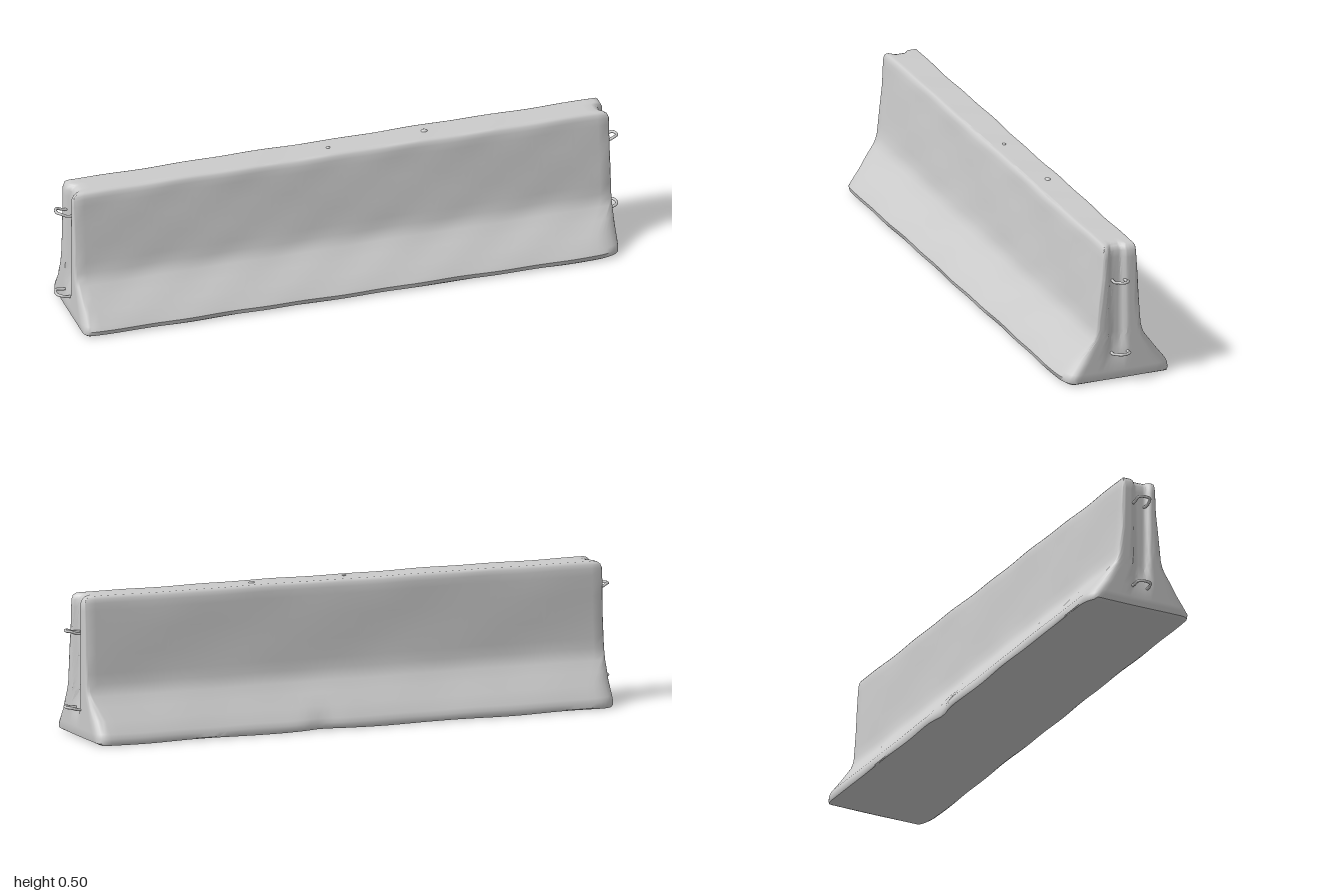
import * as THREE from 'three';
import { mergeVertices, toCreasedNormals } from 'three/addons/utils/BufferGeometryUtils.js';

const HALF = 0.954;

// Cross-section from the ground up: [y, front z, back z]
const ROWS = [
  [0.007, 0.180, -0.192], [0.014, 0.190, -0.195], [0.030, 0.194, -0.194], [0.045, 0.185, -0.187],
  [0.085, 0.154, -0.156], [0.125, 0.124, -0.126], [0.160, 0.097, -0.099], [0.178, 0.087, -0.090],
  [0.200, 0.081, -0.084], [0.235, 0.077, -0.081], [0.300, 0.071, -0.077], [0.380, 0.063, -0.073],
  [0.450, 0.057, -0.070], [0.474, 0.055, -0.068], [0.487, 0.052, -0.065], [0.494, 0.047, -0.060],
  [0.497, 0.040, -0.053],
];

const smooth = THREE.MathUtils.smoothstep;

// How far a quarter-round of width w and depth r pulls back at distance d from an edge
function roundOff(d, w, r) {
  if (d >= w) return 0;
  const t = 1 - d / w;
  return r * (1 - Math.sqrt(1 - t * t));
}

// Pull-back of an end face: rounded borders, worn foot corners, central groove
function endInset(side, y, z, front, back) {
  const low = 1 - smooth(y, 0.06, 0.19);
  const wornFront = side > 0 ? 0.07 : 0.02;
  const wornBack = side > 0 ? 0.035 : 0.065;
  const edge = Math.max(
    roundOff(front - z, 0.012 + 0.03 * low, 0.012 + wornFront * low),
    roundOff(z - back, 0.012 + 0.03 * low, 0.012 + wornBack * low),
    roundOff(0.497 - y, 0.03, 0.028),
    roundOff(y - 0.007, 0.02, 0.015));
  const groove = 0.018 * (1 - smooth(Math.abs(z - 0.004), 0.016, 0.036)) * smooth(y, 0.07, 0.15);
  return edge + groove;
}

// Gentle unevenness of cast concrete
function wobble(x, y, z) {
  return 0.0012 * Math.sin(9 * x + 21 * y + 2 * z) + 0.0009 * Math.sin(23 * x - 33 * y + 17 * z);
}

function barrierBody() {
  const ny = ROWS.length - 1;
  let geo = new THREE.BoxGeometry(2, 2, 2, 64, ny, 28);
  geo.deleteAttribute('normal');
  geo.deleteAttribute('uv');
  geo = mergeVertices(geo);
  const p = geo.attributes.position;
  for (let i = 0; i < p.count; i++) {
    const u = p.getX(i);
    const [y, front, back] = ROWS[Math.round((p.getY(i) + 1) / 2 * ny)];
    const w = Math.sin(p.getZ(i) * Math.PI / 2);
    let z = THREE.MathUtils.lerp(back, front, (w + 1) / 2);
    const x = u * (HALF - endInset(Math.sign(u), y, z, front, back));

    // Chipped spot along the rear foot
    if (w < 0) z += 0.013 * Math.exp(-(((x - 0.13) / 0.05) ** 2)) * (1 - smooth(y, 0.02, 0.09)) * -w;

    z += w * wobble(x, y, z);
    const lift = y > 0.01 ? 0.6 * wobble(x + 2, 0, z) : 0.0015 * (1 + Math.sin(14 * x));
    p.setXYZ(i, x, y * (1 + 0.008 * x) + lift, z);
  }
  return toCreasedNormals(geo, 0.75);
}

// U-shaped steel lifting eye; side is +1 or -1, tip height differs from root height
function loopGeometry(side, rootY, tipY, halfWidth) {
  const points = [
    [0.925, rootY, 1], [0.962, rootY, 1], [0.985, tipY, 0.85], [0.994, tipY, 0.4],
    [0.995, tipY, 0], [0.994, tipY, -0.4], [0.985, tipY, -0.85], [0.962, rootY, -1], [0.925, rootY, -1],
  ].map(([x, y, s]) => new THREE.Vector3(side * x, y, -0.004 + s * halfWidth));
  return new THREE.TubeGeometry(new THREE.CatmullRomCurve3(points), 40, 0.005, 8);
}

export function createModel() {
  const group = new THREE.Group();
  const material = new THREE.MeshStandardMaterial({ color: 0xcccccc });
  const add = (name, geometry) => {
    const mesh = new THREE.Mesh(geometry, material);
    mesh.name = name;
    group.add(mesh);
    return mesh;
  };

  add('barrierBody', barrierBody());

  // Two connecting loops at each end
  add('leftUpperLoop', loopGeometry(1, 0.371, 0.379, 0.021));
  add('leftLowerLoop', loopGeometry(1, 0.110, 0.116, 0.028));
  add('rightUpperLoop', loopGeometry(-1, 0.396, 0.406, 0.025));
  add('rightLowerLoop', loopGeometry(-1, 0.085, 0.090, 0.028));

  // Small concrete lumps on the top
  for (const [x, z, r] of [[0.315, -0.011, 0.01], [-0.03, 0.002, 0.006]]) {
    const lump = add('topLump', new THREE.SphereGeometry(r, 12, 8));
    lump.position.set(x, 0.498, z);
    lump.scale.set(1.2, 0.7, 1);
  }

  return group;
}
